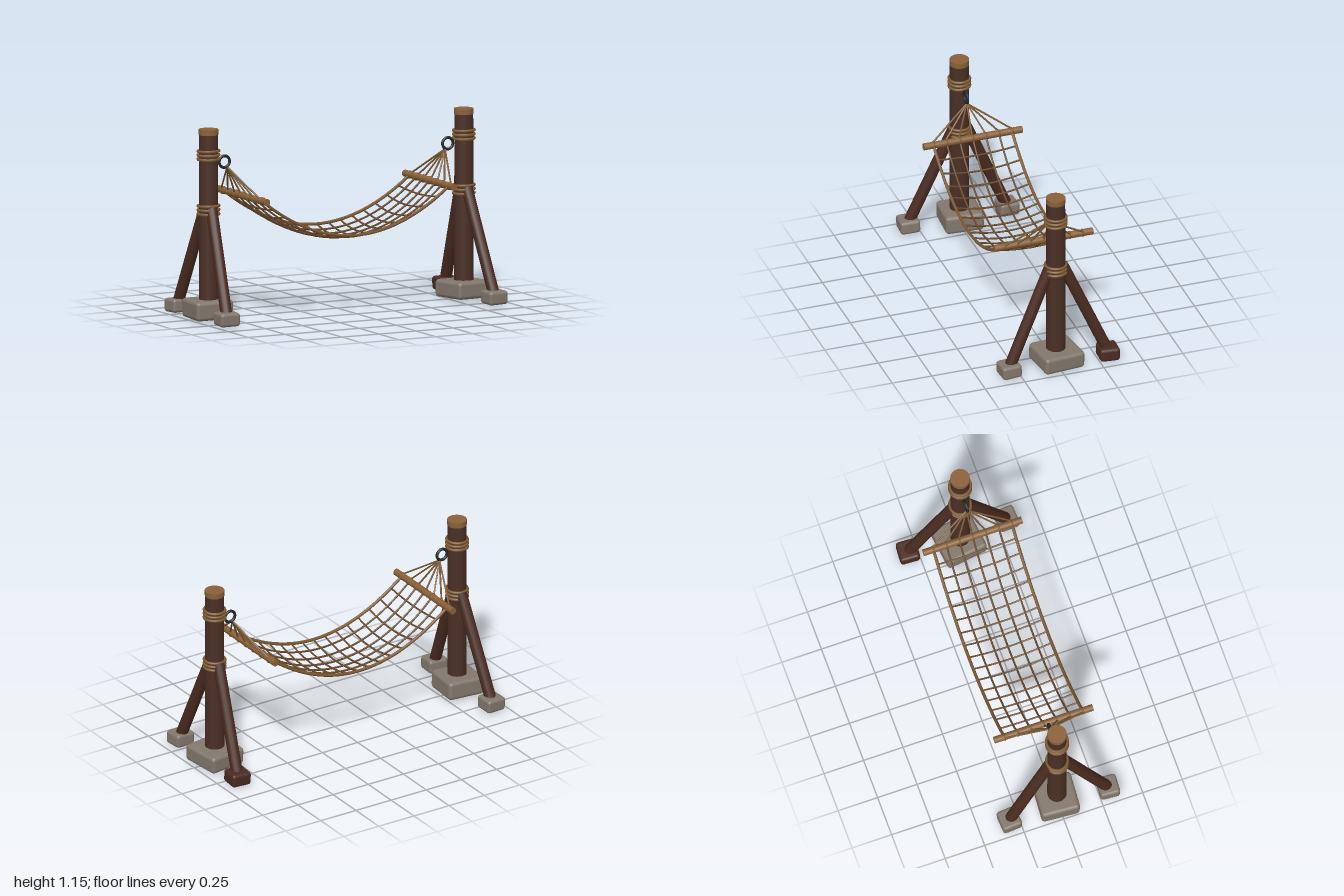
import * as THREE from 'three';
import { RoundedBoxGeometry } from 'three/addons/geometries/RoundedBoxGeometry.js';

const mat = (name, color) => new THREE.MeshStandardMaterial({ name, color });
const V = (x, y, z) => new THREE.Vector3(x, y, z);

export function createModel() {
  const darkWood = mat('dark wood', 0x4a2f24);
  const redWood = mat('brace wood', 0x4a2b20);
  const lightWood = mat('light wood', 0x8a6038);
  const rope = mat('rope', 0x7d5a33);
  const netRope = mat('net rope', 0x694a2c);
  const stone = mat('stone', 0x82776c);
  const iron = mat('iron', 0x25272b);

  const model = new THREE.Group();
  model.name = 'hammock';

  const add = (parent, name, geometry, material, x = 0, y = 0, z = 0) => {
    const mesh = new THREE.Mesh(geometry, material);
    mesh.name = name;
    mesh.position.set(x, y, z);
    parent.add(mesh);
    return mesh;
  };
  // Straight round rod between two points
  const rod = (parent, name, a, b, r, material, sides = 8) => {
    const mesh = add(parent, name, new THREE.CylinderGeometry(r, r, a.distanceTo(b), sides), material);
    mesh.position.copy(a).add(b).multiplyScalar(0.5);
    mesh.quaternion.setFromUnitVectors(V(0, 1, 0), b.clone().sub(a).normalize());
    return mesh;
  };
  const cord = (parent, name, points, r, material) =>
    add(parent, name, new THREE.TubeGeometry(new THREE.CatmullRomCurve3(points), points.length * 2, r, 6), material);

  // Net layout: seven long ropes between the two spreader bars
  const barY = 0.733, halfWidth = 0.248, midX = -0.008, halfLength = 0.631;
  const rows = 7, columns = 16;
  const rowZ = (j) => -halfWidth + (2 * halfWidth * j) / (rows - 1);
  const netPoint = (u, z) => {
    const v = z / halfWidth;
    return V(midX + u * halfLength, 0.482 + (barY - 0.482) * u * u - 0.039 * (1 - u ** 4) * (1 - v * v), z);
  };

  // The two posts with everything attached to them
  const posts = [
    { name: 'rightPost', side: -1, x: -0.871, ring: -0.762, footX: -0.911,
      base: [0.242, 0.115, 0.237], baseY: 0.07, turn: [0.01, -0.07, 0.02], backFoot: stone },
    { name: 'leftPost', side: 1, x: 0.853, ring: 0.746, footX: 0.895,
      base: [0.245, 0.105, 0.262], baseY: 0.064, turn: [-0.03, 0.13, -0.01], backFoot: redWood },
  ];
  for (const p of posts) {
    const g = new THREE.Group();
    g.name = p.name;
    model.add(g);
    add(g, 'post', new THREE.CylinderGeometry(0.057, 0.058, 1.05, 20), darkWood, p.x, 0.6, 0.003);
    add(g, 'postCap', new THREE.CylinderGeometry(0.059, 0.059, 0.034, 20), lightWood, p.x, 1.135, 0.003);
    const base = add(g, 'baseStone', new RoundedBoxGeometry(...p.base, 2, 0.022), stone, p.x + p.side * 0.002, p.baseY, -0.003);
    base.rotation.set(...p.turn);

    // Rope lashings
    for (const top of [1.02, 0.69]) {
      for (let i = 0; i < 3; i++) {
        const wrap = add(g, 'lashing', new THREE.TorusGeometry(0.063, 0.009, 8, 24), rope, p.x, top - i * 0.024, 0.003);
        wrap.rotation.set(Math.PI / 2 + (i - 1) * 0.02, 0.02, 0);
      }
    }

    // Front and back braces with their feet
    for (const s of [1, -1]) {
      rod(g, 'brace', V(p.x, 0.68, s * 0.04), V(p.footX, 0.06, s * 0.311), 0.035, redWood, 14);
      const foot = add(g, 'braceFoot', new RoundedBoxGeometry(0.127, 0.082, 0.122, 2, 0.018),
        s < 0 ? p.backFoot : stone, p.footX, 0.052, s * 0.312);
      foot.rotation.set(s * 0.03, s * p.side * 0.06, 0.02);
    }

    // Iron ring and spreader bar
    add(g, 'hangingRing', new THREE.TorusGeometry(0.035, 0.009, 8, 24), iron, p.ring, 0.947, 0);
    const barX = midX + p.side * halfLength;
    rod(g, 'spreaderBar', V(barX, barY, -0.312), V(barX, barY, 0.312), 0.021, lightWood, 14);

    // Fan of ropes from the ring, each tied around the bar
    for (let j = 0; j < rows; j++) {
      const z = rowZ(j);
      rod(g, 'fanRope', V(p.ring - p.side * 0.018, 0.914, 0), V(barX + p.side * 0.012, barY + 0.012, z), 0.0055, rope, 6);
      add(g, 'barLoop', new THREE.TorusGeometry(0.02, 0.005, 6, 14), rope, barX, barY, z);
    }
  }

  // Sagging net
  const net = new THREE.Group();
  net.name = 'net';
  model.add(net);
  for (let j = 0; j < rows; j++) {
    const edge = j === 0 || j === rows - 1;
    const points = [];
    for (let i = 0; i <= 20; i++) points.push(netPoint(-1 + i / 10, rowZ(j)));
    cord(net, edge ? 'edgeRope' : 'longRope', points, edge ? 0.0095 : 0.006, edge ? rope : netRope);
  }
  for (let i = 1; i < columns; i++) {
    const points = [];
    for (let j = 0; j < rows; j++) points.push(netPoint(-1 + (2 * i) / columns, rowZ(j)));
    cord(net, 'crossRope', points, 0.0055, netRope);
  }

  return model;
}
